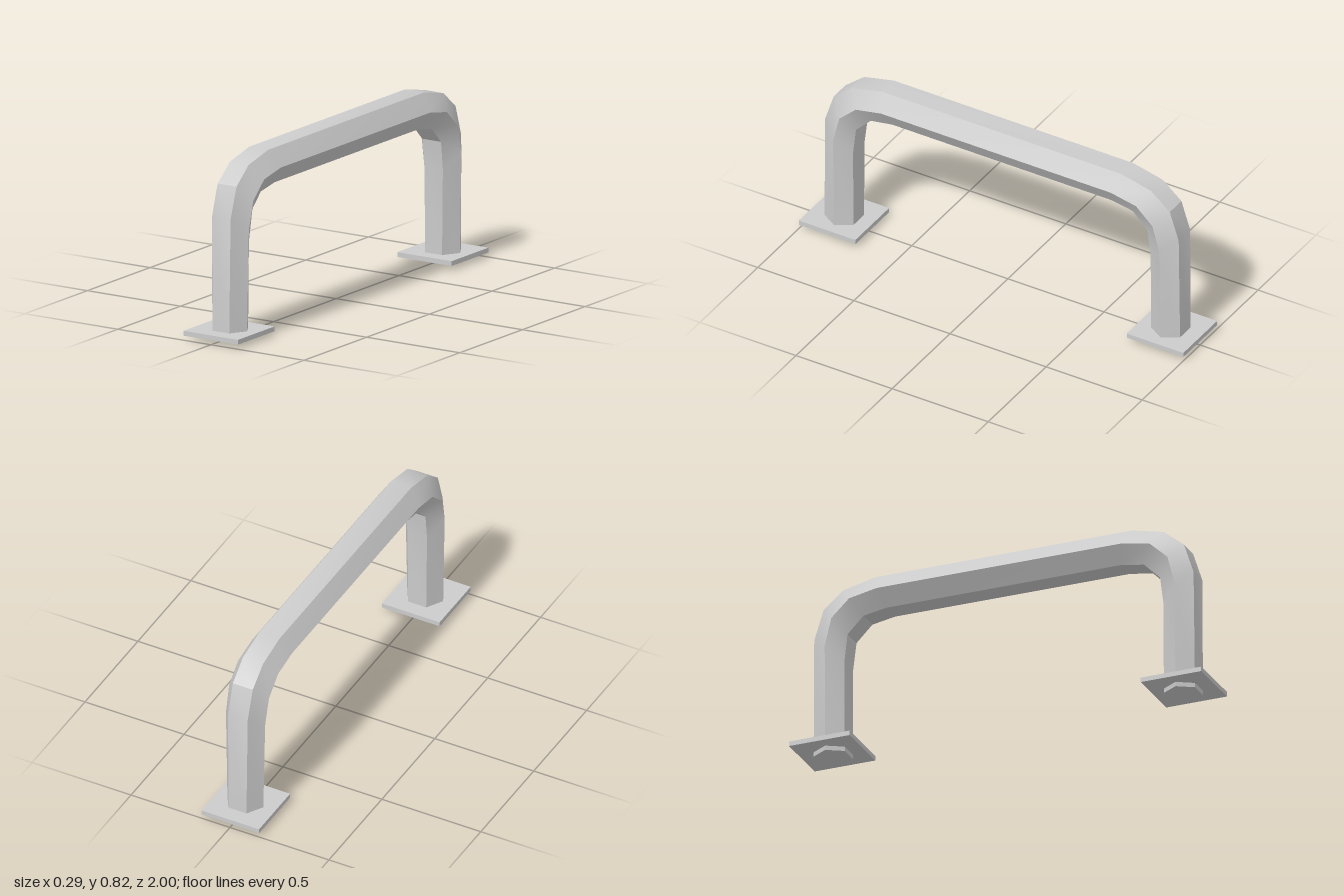
import * as THREE from 'three';
import { toCreasedNormals } from 'three/addons/utils/BufferGeometryUtils.js';

const CENTER_X = 0.0025;

// Half of the bar, foot to top: [outer z, y], [side z, y], [inner z, y], half width
const STATIONS = [
  [[0.925, 0], [0.85, 0], [0.774, 0], 0.09],
  [[0.92, 0.568], [0.848, 0.509], [0.774, 0.436], 0.099],
  [[0.874, 0.708], [0.815, 0.638], [0.758, 0.568], 0.101],
  [[0.777, 0.788], [0.729, 0.718], [0.681, 0.645], 0.1015],
  [[0.622, 0.824], [0.597, 0.744], [0.57, 0.664], 0.1015],
];

// One hexagonal ring; side = 1 for the front leg, -1 for the back leg
function ring([outer, mid, inner, w], side) {
  const h = w / 2;
  const point = ([z, y], x) => [CENTER_X + x, y, z * side];
  return [
    point(outer, h), point(outer, -h), point(mid, -w),
    point(inner, -h), point(inner, h), point(mid, w),
  ];
}

// Skins a row of rings and closes both ends
function loft(rings) {
  const n = rings[0].length;
  const last = (rings.length - 1) * n;
  const index = [];
  for (let i = 0; i < rings.length - 1; i++) {
    for (let j = 0; j < n; j++) {
      const k = (j + 1) % n;
      const a = i * n + j, b = a + n, c = (i + 1) * n + k, d = i * n + k;
      index.push(a, b, c, a, c, d);
    }
  }
  for (let j = 1; j < n - 1; j++) {
    index.push(0, j, j + 1);
    index.push(last, last + j + 1, last + j);
  }
  const geometry = new THREE.BufferGeometry();
  geometry.setAttribute('position', new THREE.Float32BufferAttribute(rings.flat(2), 3));
  geometry.setIndex(index);
  return toCreasedNormals(geometry, THREE.MathUtils.degToRad(30));
}

export function createModel() {
  const model = new THREE.Group();
  model.name = 'barHandle';
  const grey = new THREE.MeshStandardMaterial({ color: 0xcccccc });

  // Bent hexagonal bar: up the front leg, across, down the back leg
  const rings = [
    ...STATIONS.map((s) => ring(s, 1)),
    ...[...STATIONS].reverse().map((s) => ring(s, -1)),
  ];
  const bar = new THREE.Mesh(loft(rings), grey);
  bar.name = 'bar';
  model.add(bar);

  // Square foot plates, with the bar ends poking out below
  for (const [name, side] of [['frontFootPlate', 1], ['backFootPlate', -1]]) {
    const plate = new THREE.Mesh(new THREE.BoxGeometry(0.292, 0.022, 0.294), grey);
    plate.name = name;
    plate.position.set(-0.001, 0.032, side * 0.853);
    model.add(plate);
  }
  return model;
}
